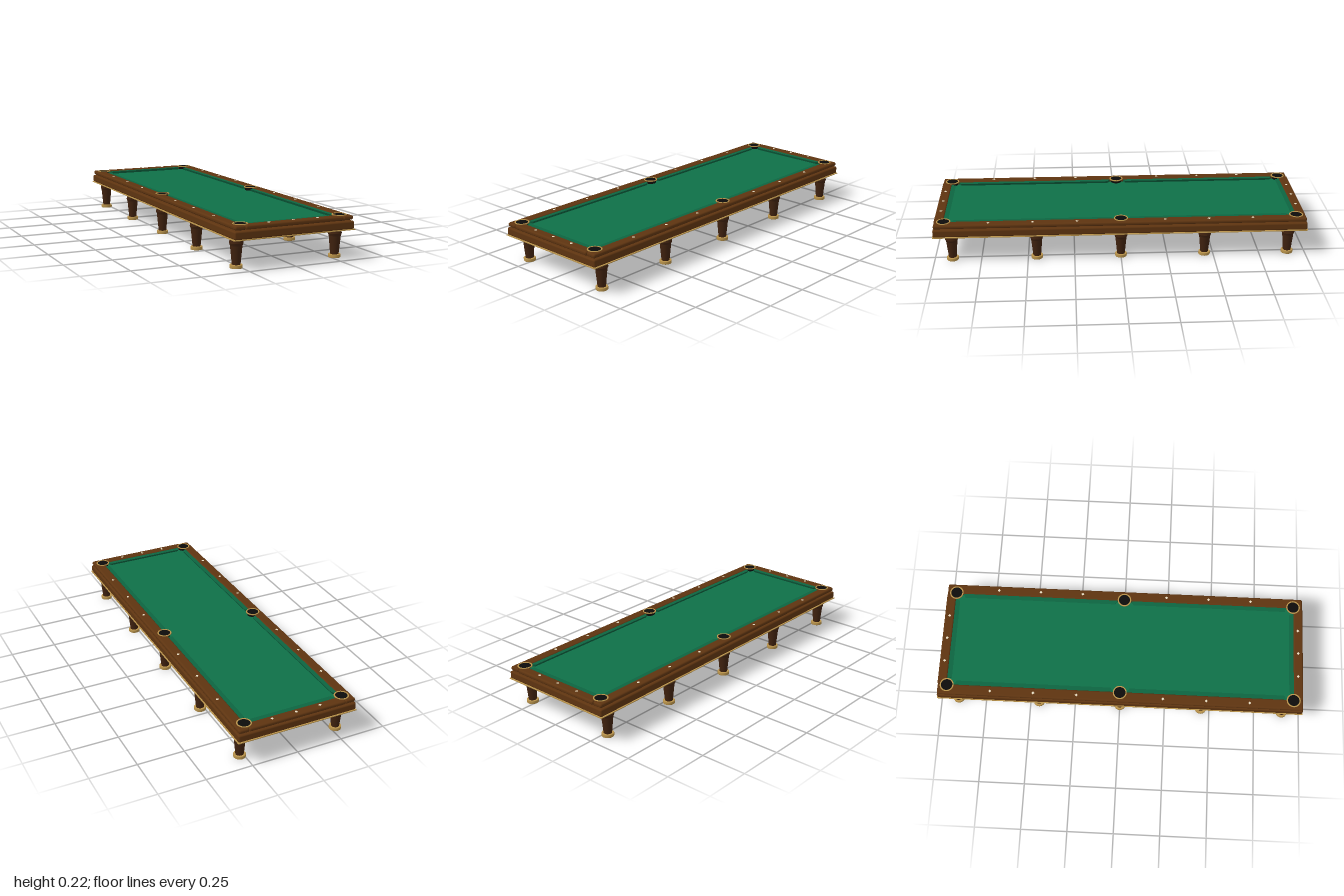
import * as THREE from 'three';
import { RoundedBoxGeometry } from 'three/addons/geometries/RoundedBoxGeometry.js';

const mat = (name, color) => {
  const m = new THREE.MeshStandardMaterial({ color });
  m.name = name;
  return m;
};

export function createModel() {
  const wood = mat('warm wood', 0x5e3410);
  const darkWood = mat('dark wood', 0x40220f);
  const brass = mat('brass', 0xb8924a);
  const cloth = mat('green cloth', 0x0f7048);
  const cushionCloth = mat('cushion cloth', 0x0c6440);
  const black = mat('pocket black', 0x0c0b0a);
  const pearl = mat('pearl inlay', 0xeadfc4);

  const table = new THREE.Group();
  table.name = 'billiardTable';
  const add = (name, geo, material, x = 0, y = 0, z = 0, parent = table) => {
    const mesh = new THREE.Mesh(geo, material);
    mesh.name = name;
    mesh.position.set(x, y, z);
    parent.add(mesh);
    return mesh;
  };

  // Body: brass base plate, rounded cabinet, recessed slate and cloth bed
  add('basePlate', new THREE.BoxGeometry(0.66, 0.004, 2), brass, 0, 0.152, 0);
  add('cabinet', new RoundedBoxGeometry(0.654, 0.04, 1.994, 4, 0.008), wood, 0, 0.174, 0);
  add('slate', new THREE.BoxGeometry(0.54, 0.008, 1.89), darkWood, 0, 0.196, 0);
  add('clothBed', new THREE.BoxGeometry(0.538, 0.004, 1.888), cloth, 0, 0.202, 0);

  // Rails: full-length sides, ends fitted between them
  const sideRail = new RoundedBoxGeometry(0.056, 0.022, 1.986, 4, 0.009);
  const endRail = new RoundedBoxGeometry(0.534, 0.022, 0.052, 4, 0.009);
  for (const s of [-1, 1]) {
    add('sideRail', sideRail, wood, s * 0.295, 0.21, 0);
    add('endRail', endRail, wood, 0, 0.21, s * 0.969);
  }

  // Cushions: mitred strips, long edge against the rail at local y = 0
  const cushion = (length) => {
    const h = length / 2, shape = new THREE.Shape();
    shape.moveTo(-h, 0);
    shape.lineTo(h, 0);
    shape.lineTo(h - 0.014, 0.025);
    shape.lineTo(-h + 0.014, 0.025);
    const geo = new THREE.ExtrudeGeometry(shape, { depth: 0.014, bevelEnabled: false });
    // Undercut the nose so it overhangs the bed
    const p = geo.attributes.position;
    for (let i = 0; i < p.count; i++) {
      if (p.getY(i) > 0.02 && p.getZ(i) < 0.005) p.setY(i, 0.018);
    }
    geo.computeVertexNormals();
    return geo.rotateX(-Math.PI / 2); // nose faces -z
  };
  const sideCushion = cushion(0.868), endCushion = cushion(0.476);
  for (const s of [-1, 1]) {
    add('endCushion', endCushion, cushionCloth, 0, 0.203, s * 0.944).rotation.y = s > 0 ? 0 : Math.PI;
    for (const t of [-1, 1]) {
      add('sideCushion', sideCushion, cushionCloth, s * 0.27, 0.203, t * 0.471).rotation.y = s * Math.PI / 2;
    }
  }

  // Pockets: cup below, black well and brass rim
  const cup = new THREE.CylinderGeometry(0.03, 0.024, 0.01, 24);
  const well = new THREE.CylinderGeometry(0.032, 0.03, 0.022, 24);
  const rim = new THREE.LatheGeometry([
    [0.031, 0.219], [0.038, 0.219], [0.038, 0.223], [0.037, 0.224], [0.032, 0.224], [0.031, 0.223], [0.031, 0.219],
  ].map(([r, y]) => new THREE.Vector2(r, y)), 32);
  for (const x of [-0.272, 0.272]) {
    for (const z of [-0.942, 0, 0.942]) {
      const pocket = new THREE.Group();
      pocket.name = 'pocket';
      pocket.position.set(x, 0, z);
      table.add(pocket);
      add('pocketCup', cup, darkWood, 0, 0.196, 0, pocket);
      add('pocketWell', well, black, 0, 0.211, 0, pocket);
      add('pocketRim', rim, brass, 0, 0, 0, pocket);
    }
  }

  // Diamond sights set into the rails
  const sight = new THREE.CylinderGeometry(0.008, 0.009, 0.002, 4);
  for (const s of [-1, 1]) {
    for (const z of [-0.705, -0.47, -0.235, 0.235, 0.47, 0.705]) {
      add('sight', sight, pearl, s * 0.297, 0.2215, z);
    }
    for (const x of [-0.133, 0, 0.133]) add('sight', sight, pearl, x, 0.2215, s * 0.968);
  }

  // Legs: turned taper with a collar, on brass feet
  const legGeo = new THREE.CylinderGeometry(0.03, 0.021, 0.093, 24);
  const collarLow = new THREE.CylinderGeometry(0.035, 0.03, 0.012, 24);
  const collarHigh = new THREE.CylinderGeometry(0.03, 0.035, 0.029, 24);
  const foot = new THREE.LatheGeometry([
    [0, 0], [0.03, 0], [0.0315, 0.002], [0.0315, 0.015], [0.03, 0.017], [0, 0.017],
  ].map(([r, y]) => new THREE.Vector2(r, y)), 24);
  for (const x of [-0.273, 0.273]) {
    for (const z of [-0.904, -0.452, 0, 0.452, 0.904]) {
      const leg = new THREE.Group();
      leg.name = 'leg';
      leg.position.set(x, 0, z);
      table.add(leg);
      add('foot', foot, brass, 0, 0, 0, leg);
      add('legShaft', legGeo, darkWood, 0, 0.0635, 0, leg);
      add('legCollar', collarLow, darkWood, 0, 0.116, 0, leg);
      add('legTop', collarHigh, darkWood, 0, 0.1365, 0, leg);
    }
  }
  return table;
}
